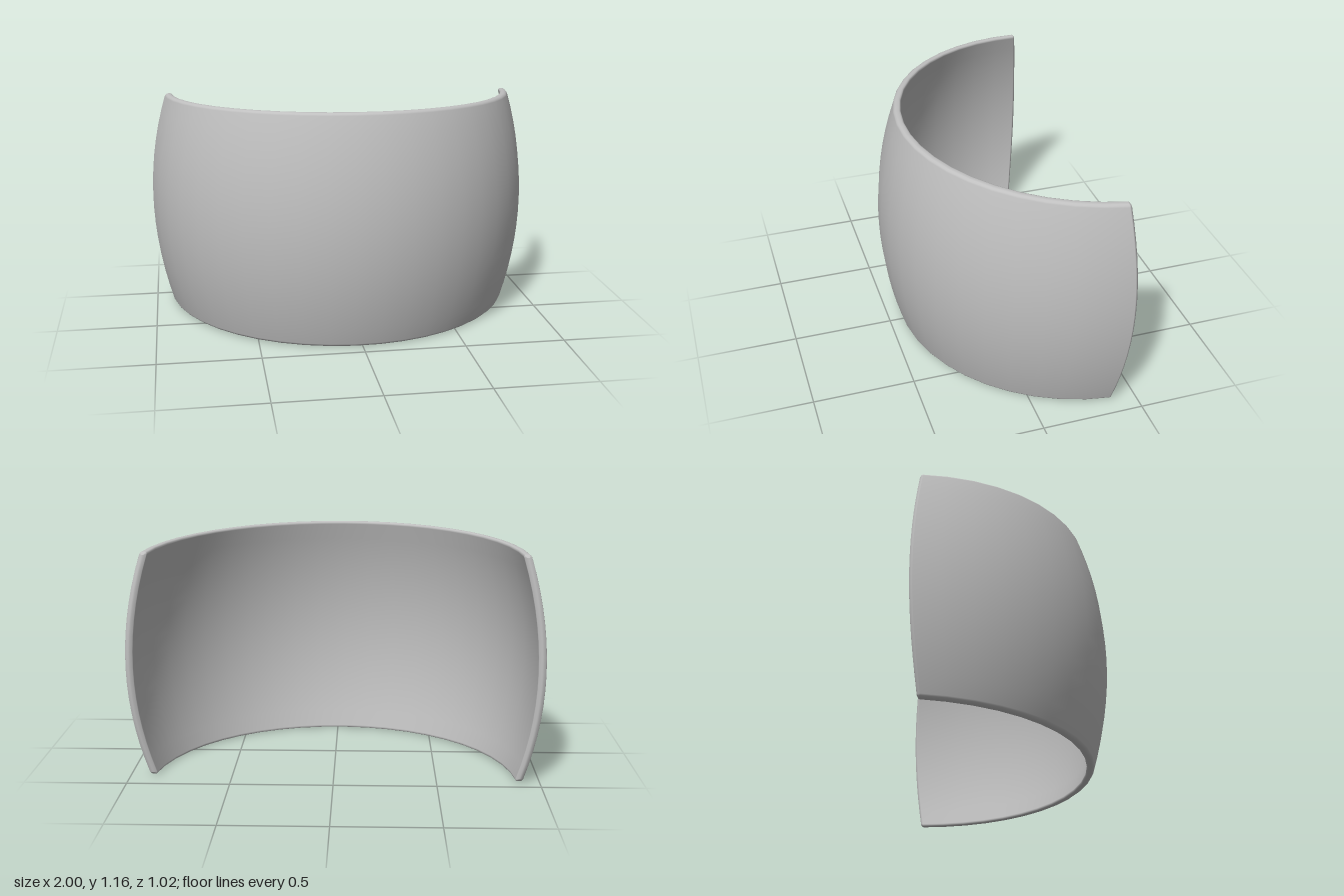
import * as THREE from 'three';

const RADIUS = 1, WALL = 0.019, FILLET = 0.014, CENTRE_Z = -0.49;
const ARC_STEPS = 22, SIDE_STEPS = 14, CORNER_STEPS = 3;

// Rounded-rectangle cross-section: pairs of (offset through wall, height), anticlockwise
function section(halfHeight, inset, flatten) {
  const pts = [];
  const w = WALL - FILLET, h = halfHeight - FILLET, f = FILLET - inset;
  const corner = (sx, sy, start) => {
    for (let i = 0; i <= CORNER_STEPS; i++) {
      const a = start + (i / CORNER_STEPS) * Math.PI / 2;
      pts.push([(sx * w + f * Math.cos(a)) * flatten, sy * h + f * Math.sin(a)]);
    }
  };
  const side = (x, dir) => {
    for (let i = 1; i < SIDE_STEPS; i++) pts.push([x * flatten, dir * h * (2 * i / SIDE_STEPS - 1)]);
  };
  side(w + f, 1);
  corner(1, 1, 0);
  corner(-1, 1, Math.PI / 2);
  side(-w - f, -1);
  corner(-1, -1, Math.PI);
  corner(1, -1, Math.PI * 1.5);
  return pts;
}

// Bowed shell swept around a half circle, with bowed and rounded ends
function shellGeometry() {
  const stations = [];
  const end = [{ t: 0, trim: 0, inset: FILLET, flatten: 0 }];
  for (let i = 0; i <= CORNER_STEPS; i++) {
    const a = (i / CORNER_STEPS) * Math.PI / 2;
    end.push({ t: 0, trim: FILLET * (1 - Math.sin(a)), inset: FILLET * (1 - Math.cos(Math.PI / 2 - a)), flatten: 1 });
  }
  // the trim grows as the section reaches its full size
  for (const s of end) {
    if (s.flatten) {
      const trim = FILLET - s.trim;
      stations.push({ ...s, trim, inset: FILLET - Math.sqrt(Math.max(0, FILLET ** 2 - (FILLET - trim) ** 2)) });
    } else stations.push(s);
  }
  const tail = stations.map((s) => ({ ...s, t: 1, trim: -s.trim })).reverse();
  for (let i = 1; i < ARC_STEPS; i++) stations.push({ t: i / ARC_STEPS, trim: 0, inset: 0, flatten: 1 });
  stations.push(...tail);

  const pos = [], index = [];
  let n = 0;
  for (const { t, trim, inset, flatten } of stations) {
    const ring = section(0.557 + 0.021 * Math.sin(Math.PI * t), inset, flatten);
    n = ring.length;
    for (const [d, y] of ring) {
      const bow = (y / 0.57) ** 2;
      const start = 0.06 + 0.05 * bow, stop = Math.PI + 0.02 - 0.05 * bow;
      const angle = start + (stop - start) * t + trim;
      const r = RADIUS - WALL - 0.09 * bow + d;
      pos.push(r * Math.cos(angle), y, CENTRE_Z + r * Math.sin(angle));
    }
  }
  for (let j = 0; j < stations.length - 1; j++) {
    for (let i = 0; i < n; i++) {
      const a = j * n + i, b = j * n + (i + 1) % n;
      index.push(a, b, a + n, b, b + n, a + n);
    }
  }
  const geo = new THREE.BufferGeometry();
  geo.setAttribute('position', new THREE.Float32BufferAttribute(pos, 3));
  geo.setIndex(index);
  geo.computeVertexNormals();
  return geo;
}

export function createModel() {
  const group = new THREE.Group();
  const grey = new THREE.MeshStandardMaterial({ color: 0xc0c0c0 });
  grey.name = 'grey';
  const shell = new THREE.Mesh(shellGeometry(), grey);
  shell.name = 'curvedShell';
  // slight lean, as the band rests a little unevenly
  shell.rotation.set(-0.019, 0, -0.004);
  shell.position.y = 0.5725;
  group.add(shell);
  return group;
}
